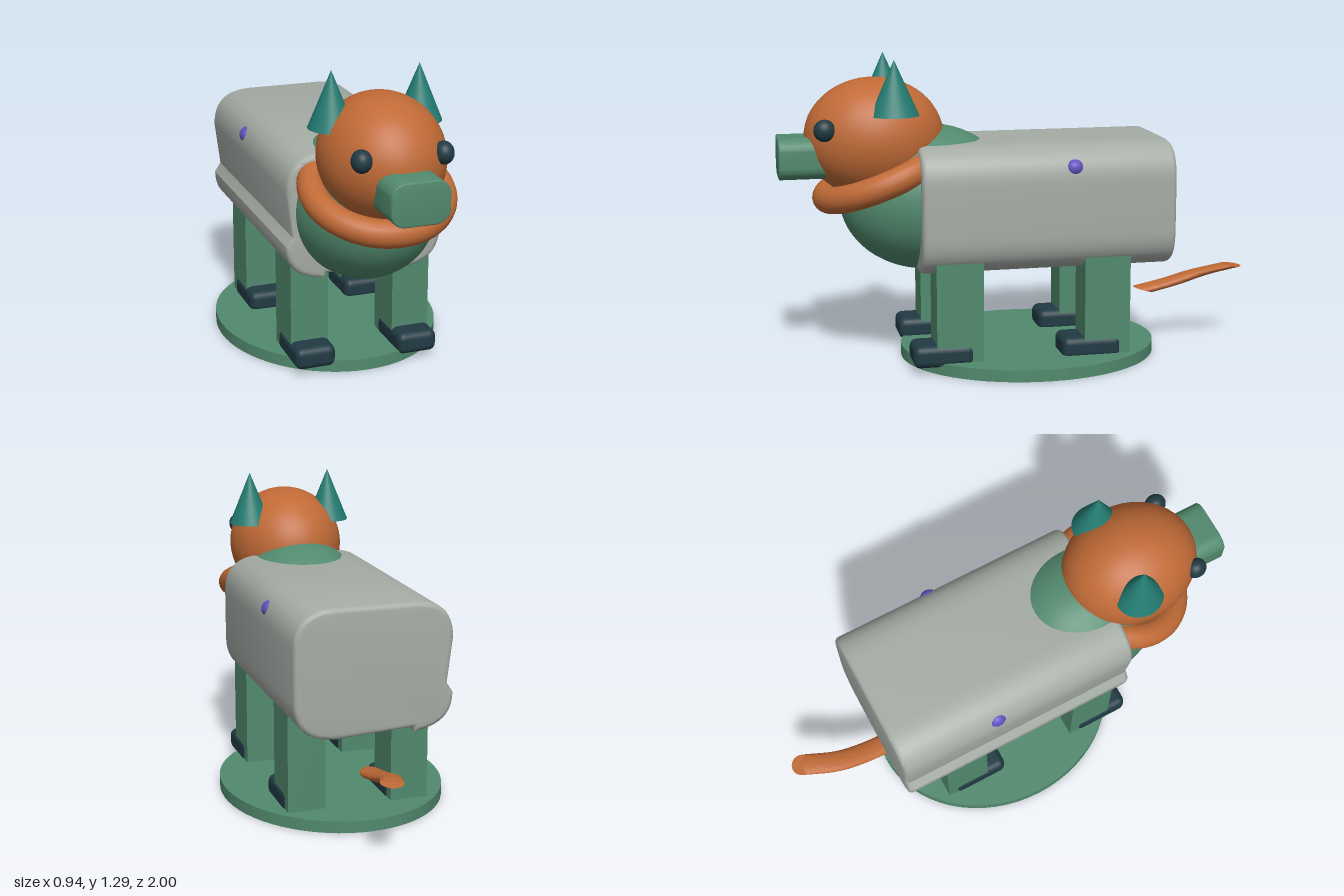
import * as THREE from 'three';
import { toCreasedNormals } from 'three/addons/utils/BufferGeometryUtils.js';
import { RoundedBoxGeometry } from 'three/addons/geometries/RoundedBoxGeometry.js';

const material = (name, color) => {
  const m = new THREE.MeshStandardMaterial({ color });
  m.name = name;
  return m;
};

export function createModel() {
  const model = new THREE.Group();
  model.name = 'toyAnimal';

  const grey = material('grey', 0xa6aca6);
  const orange = material('orange', 0xc06a36);
  const green = material('green', 0x528a6e);
  const teal = material('teal', 0x237c72);
  const navy = material('navy', 0x213a44);
  const purple = material('purple', 0x6350c0);

  const add = (name, geometry, mat, x = 0, y = 0, z = 0) => {
    const mesh = new THREE.Mesh(geometry, mat);
    mesh.name = name;
    mesh.position.set(x, y, z);
    model.add(mesh);
    return mesh;
  };
  const ball = (name, mat, rx, ry, rz, x, y, z) =>
    add(name, new THREE.SphereGeometry(1, 40, 28).scale(rx, ry, rz), mat, x, y, z);

  // Bevelled extrusion between two z positions, keeping the outline's size
  const extrude = (shape, zBack, zFront, bevel) => {
    const g = new THREE.ExtrudeGeometry(shape, {
      depth: zFront - zBack - 2 * bevel, curveSegments: 12,
      bevelThickness: bevel, bevelSize: bevel, bevelOffset: -bevel, bevelSegments: 3,
    });
    return toCreasedNormals(g.translate(0, 0, zBack + bevel), 0.6);
  };

  // Oval stand
  add('stand', new THREE.CylinderGeometry(1, 1, 0.05, 64).scale(0.47, 1, 0.547), green, 0, 0.025, -0.048);

  // Body, with a ledge along its right flank and a step underneath
  const flank = new THREE.Shape();
  flank.moveTo(0.15, 0.405);
  flank.quadraticCurveTo(0.33, 0.405, 0.33, 0.57);
  flank.lineTo(0.33, 0.78);
  flank.quadraticCurveTo(0.33, 0.935, 0.16, 0.935);
  flank.lineTo(-0.16, 0.935);
  flank.quadraticCurveTo(-0.33, 0.935, -0.33, 0.78);
  flank.lineTo(-0.307, 0.595);
  flank.lineTo(-0.333, 0.555);
  flank.quadraticCurveTo(-0.335, 0.42, -0.17, 0.405);
  flank.lineTo(-0.165, 0.425);
  flank.closePath();
  add('body', extrude(flank, -0.61, 0.45, 0.02), grey);

  // Chest, head and tilted collar
  ball('chest', green, 0.3, 0.305, 0.365, 0, 0.695, 0.385);
  ball('head', orange, 0.247, 0.25, 0.29, 0, 0.95, 0.602);
  const collar = add('collar', new THREE.TorusGeometry(0.26, 0.056, 20, 64).rotateX(Math.PI / 2), orange, 0, 0.798, 0.564);
  collar.rotation.x = 0.38;

  // Snout
  const w = 0.118, h = 0.085, r = 0.06;
  const muzzle = new THREE.Shape();
  muzzle.absarc(w - r, h - r + 0.01, r, 0, Math.PI / 2);
  muzzle.absarc(r - w, h - r + 0.01, r, Math.PI / 2, Math.PI);
  muzzle.absarc(r - w, r - h - 0.01, r, Math.PI, Math.PI * 1.5);
  muzzle.absarc(w - r, r - h - 0.01, r, Math.PI * 1.5, Math.PI * 2);
  const snout = add('snout', extrude(muzzle, 0.7, 1, 0.006), green, 0, 0.88, 0);
  snout.scale.y = 0.9;

  // Mirrored parts
  for (const [side, s] of [['left', 1], ['right', -1]]) {
    add(`${side}Ear`, new THREE.ConeGeometry(1, 0.225, 40).scale(0.09, 1, 0.1), teal, s * 0.181, 1.173, 0.538);
    ball(`${side}Eye`, navy, 0.04, 0.045, 0.045, s * 0.164, 1.006, 0.818);
    ball(`${side}Button`, purple, 0.036, 0.036, 0.04, s * 0.297, 0.843, -0.178);

    for (const [end, legZ, footZ] of [['front', 0.297, 0.362], ['back', -0.325, -0.262]]) {
      add(`${side}${end}Leg`, new THREE.BoxGeometry(0.16, 0.43, 0.194), green, s * 0.221, 0.257, legZ);
      add(`${side}${end}Foot`, new RoundedBoxGeometry(0.17, 0.093, 0.254, 3, 0.03), navy, s * 0.222, 0.077, footZ);
    }
  }

  // Tail: level rounds swept backward along a rising curve
  const path = new THREE.CatmullRomCurve3([
    new THREE.Vector3(0, 0.24, -0.572),
    new THREE.Vector3(0, 0.268, -0.7),
    new THREE.Vector3(0.01, 0.302, -0.81),
    new THREE.Vector3(0.055, 0.343, -0.952),
  ]);
  const tail = new THREE.CylinderGeometry(0.046, 0.046, 1, 28, 20);
  const pos = tail.attributes.position;
  for (let i = 0; i < pos.count; i++) {
    const t = THREE.MathUtils.clamp(pos.getY(i) + 0.5, 0, 1);
    const p = path.getPoint(t);
    const tilt = THREE.MathUtils.lerp(0.26, 0.1, t);
    pos.setXYZ(i, p.x + pos.getX(i), p.y + tilt * pos.getZ(i), p.z + pos.getZ(i));
  }
  add('tail', toCreasedNormals(tail, 0.9), orange);

  return model;
}
